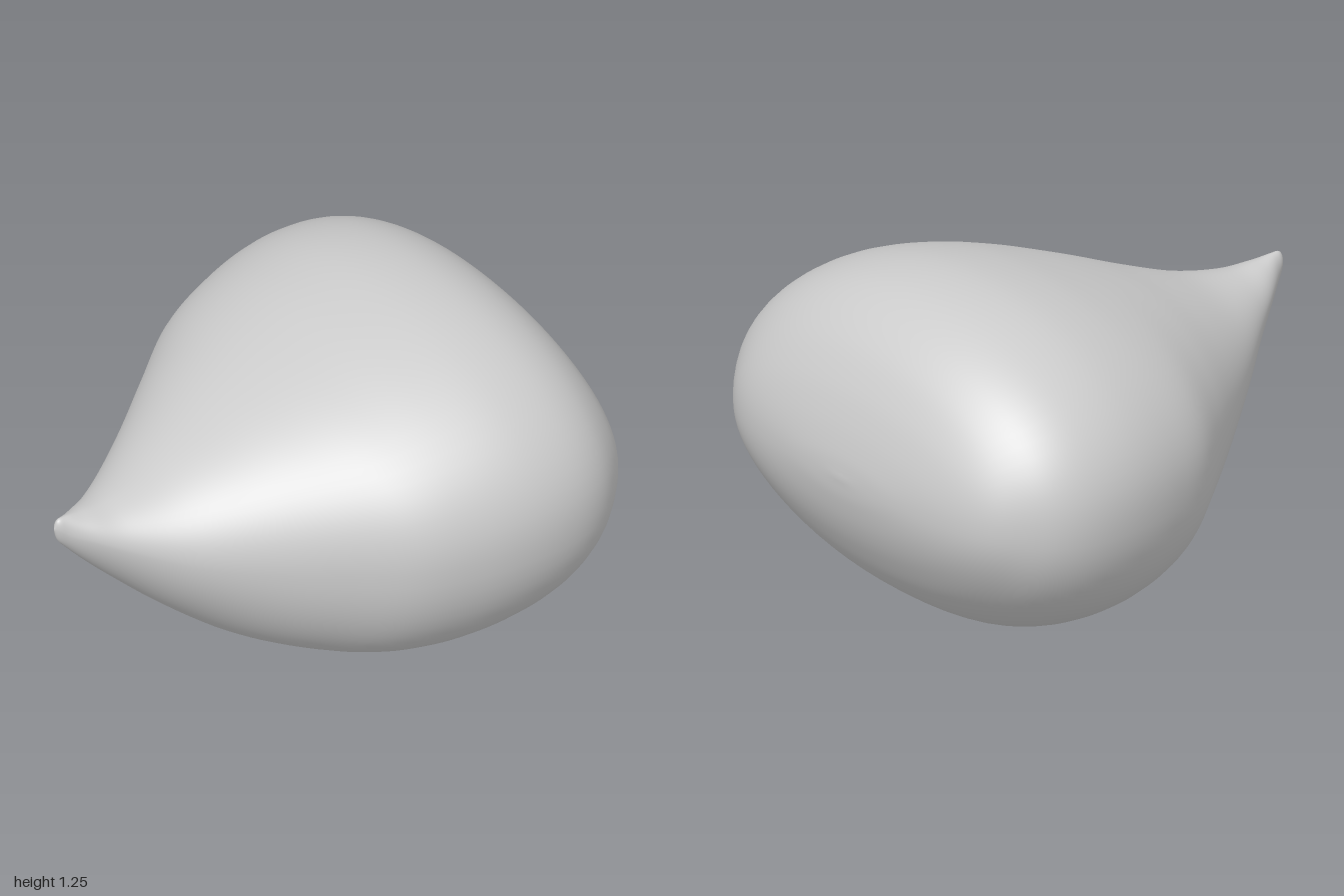
import * as THREE from 'three';
import { mergeVertices } from 'three/addons/utils/BufferGeometryUtils.js';

// Cross-sections from tip to back: z, half width, height of widest point, top, bottom
const SECTIONS = [
  [1, 0, 0.84, 0.84, 0.84],
  [0.985, 0.018, 0.835, 0.873, 0.79],
  [0.95, 0.04, 0.81, 0.876, 0.745],
  [0.88, 0.09, 0.78, 0.869, 0.665],
  [0.77, 0.165, 0.73, 0.869, 0.55],
  [0.6, 0.295, 0.67, 0.903, 0.385],
  [0.4, 0.445, 0.64, 0.98, 0.22],
  [0.2, 0.6, 0.64, 1.067, 0.107],
  [0, 0.75, 0.65, 1.145, 0.035],
  [-0.2, 0.83, 0.66, 1.21, 0.002],
  [-0.4, 0.87, 0.67, 1.246, 0.013],
  [-0.58, 0.868, 0.67, 1.236, 0.062],
  [-0.72, 0.825, 0.67, 1.185, 0.148],
  [-0.83, 0.74, 0.67, 1.097, 0.255],
  [-0.91, 0.635, 0.67, 0.98, 0.375],
  [-0.96, 0.48, 0.67, 0.865, 0.48],
  [-0.99, 0.25, 0.67, 0.755, 0.585],
  [-1, 0, 0.67, 0.67, 0.67],
];
const RINGS = 102, SIDES = 72;

// Rounded power that keeps the sign, for superellipse sections
const spow = (v, e) => Math.sign(v) * Math.pow(Math.abs(v), e);

function bodyGeometry() {
  const spline = (pick) => new THREE.CatmullRomCurve3(
    SECTIONS.map((s) => new THREE.Vector3(...pick(s))), false, 'catmullrom', 0.5);
  const widths = spline(([z, w, mid]) => [z, w, mid]);
  const heights = spline(([, , , top, bottom]) => [top, bottom, 0]);
  const positions = [], index = [];

  for (let i = 0; i <= RINGS; i++) {
    const { x: z, y: width, z: mid } = widths.getPoint(i / RINGS);
    const { x: top, y: bottom } = heights.getPoint(i / RINGS);
    // the section is slightly peaked towards the tip, fuller in the body
    const e = 2 / THREE.MathUtils.lerp(2.12, 1.8, THREE.MathUtils.smoothstep(z, 0.2, 1));
    for (let j = 0; j < SIDES; j++) {
      const a = (j / SIDES) * Math.PI * 2;
      const c = Math.cos(a), s = Math.sin(a);
      const reach = s > 0 ? top - mid : mid - bottom;
      positions.push(width * spow(c, e), mid + reach * spow(s, e), z);
      if (i < RINGS) {
        const p = i * SIDES + j, q = i * SIDES + (j + 1) % SIDES;
        // the end rings collapse to points, so skip their empty triangles
        if (i > 0) index.push(p, p + SIDES, q);
        if (i < RINGS - 1) index.push(q, p + SIDES, q + SIDES);
        else continue;
      }
    }
  }
  const geometry = new THREE.BufferGeometry();
  geometry.setAttribute('position', new THREE.Float32BufferAttribute(positions, 3));
  geometry.setIndex(index);
  const welded = mergeVertices(geometry, 1e-5);
  welded.computeVertexNormals();
  return welded;
}

export function createModel() {
  const group = new THREE.Group();
  group.name = 'teardropModel';
  // One smooth body drawn out to an upturned point at the front
  const body = new THREE.Mesh(bodyGeometry(), new THREE.MeshStandardMaterial({ color: 0xcccccc }));
  body.name = 'body';
  group.add(body);
  return group;
}
